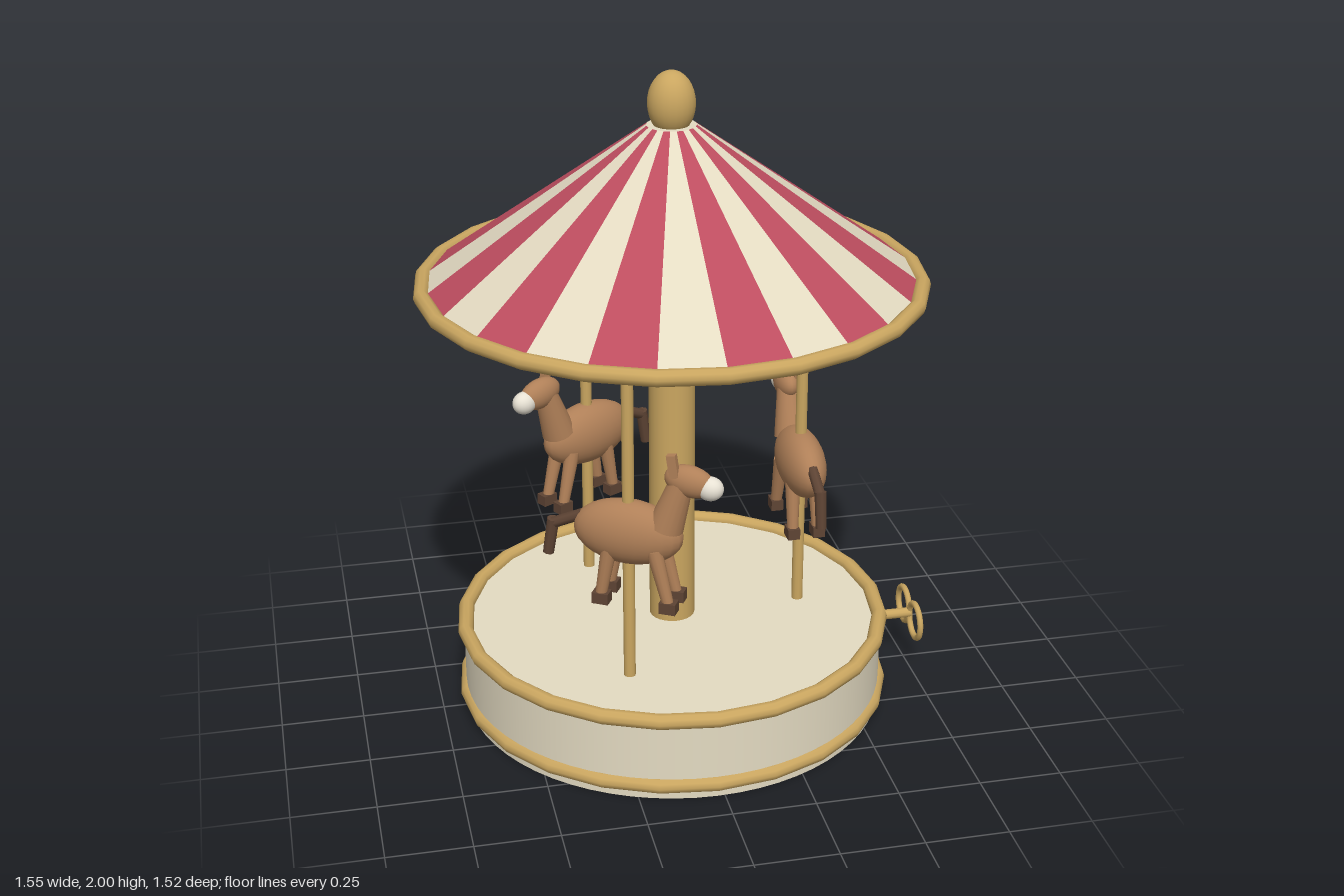
import * as THREE from 'three';
import { mergeGeometries } from 'three/addons/utils/BufferGeometryUtils.js';

const mat = (name, color) => {
  const m = new THREE.MeshStandardMaterial({ color });
  m.name = name;
  return m;
};
const gold = mat('gold', 0xcaa660);
const cream = mat('cream', 0xe4dbc2);
const red = mat('red', 0xbd4d5f);
const brown = mat('horse brown', 0xb08058);
const dark = mat('dark brown', 0x5e4434);
const pale = mat('muzzle white', 0xeee8da);

function add(parent, name, geometry, material, x = 0, y = 0, z = 0) {
  const mesh = new THREE.Mesh(geometry, material);
  mesh.name = name;
  mesh.position.set(x, y, z);
  parent.add(mesh);
  return mesh;
}

// Upright cylinder between two heights
function post(parent, name, r, y0, y1, material, x = 0, sides = 24) {
  return add(parent, name, new THREE.CylinderGeometry(r, r, y1 - y0, sides), material, x, (y0 + y1) / 2, 0);
}

// Tapered rod from point a to point b
function rod(parent, name, a, b, ra, rb, material, sides = 12) {
  const p = new THREE.Vector3(...a), q = new THREE.Vector3(...b);
  const d = q.clone().sub(p);
  const mesh = add(parent, name, new THREE.CylinderGeometry(rb, ra, d.length(), sides), material);
  mesh.position.copy(p).add(q).multiplyScalar(0.5);
  mesh.quaternion.setFromUnitVectors(new THREE.Vector3(0, 1, 0), d.normalize());
  return mesh;
}

function ellipsoid(parent, name, rx, ry, rz, material, x, y, z) {
  const mesh = add(parent, name, new THREE.SphereGeometry(1, 24, 16), material, x, y, z);
  mesh.scale.set(rx, ry, rz);
  return mesh;
}

function rim(parent, name, r, y) {
  add(parent, name, new THREE.TorusGeometry(r, 0.024, 10, 24).rotateX(Math.PI / 2), gold, 0, y, 0);
}

// Striped conical roof, one flat slice per stripe
function makeRoof() {
  const roof = new THREE.Group();
  roof.name = 'roof';
  const y0 = 1.37, y1 = 1.842, step = Math.PI / 12;
  const slices = { cream: [], red: [] };
  for (let i = 0; i < 24; i++) {
    // stripes alternate, except for one swapped pair at the back
    const odd = (i === 16 || i === 17) ? i === 16 : i % 2 === 1;
    const g = new THREE.CylinderGeometry(0.073, 0.735, y1 - y0, 1, 1, true, Math.PI / 2 - (i + 1) * step, step).toNonIndexed();
    g.computeVertexNormals();
    slices[odd ? 'red' : 'cream'].push(g);
  }
  add(roof, 'creamStripes', mergeGeometries(slices.cream), cream, 0, (y0 + y1) / 2, 0);
  add(roof, 'redStripes', mergeGeometries(slices.red), red, 0, (y0 + y1) / 2, 0);
  add(roof, 'roofUnderside', new THREE.CircleGeometry(0.735, 24).rotateX(Math.PI / 2), cream, 0, y0, 0);
  add(roof, 'roofTop', new THREE.CircleGeometry(0.073, 24).rotateX(-Math.PI / 2), cream, 0, y1, 0);
  rim(roof, 'roofRim', 0.735, y0);
  ellipsoid(roof, 'finial', 0.07, 0.095, 0.07, gold, 0, 1.905, 0);
  return roof;
}

// Horse facing -z, with its right side (+x) outward
function makeHorse() {
  const horse = new THREE.Group();
  horse.name = 'horse';
  ellipsoid(horse, 'body', 0.071, 0.1, 0.167, brown, 0, 0.74, 0);
  rod(horse, 'neck', [0, 0.775, -0.115], [0, 0.93, -0.165], 0.053, 0.034, brown, 16);
  ellipsoid(horse, 'head', 0.038, 0.048, 0.075, brown, 0, 0.927, -0.185).rotation.x = -0.15;
  ellipsoid(horse, 'muzzle', 0.033, 0.036, 0.04, pale, 0, 0.913, -0.246);
  add(horse, 'ear', new THREE.BoxGeometry(0.02, 0.07, 0.027), brown, 0.022, 0.978, -0.143).rotation.x = 0.15;

  // Legs splay outward slightly, each ending in a hoof
  for (const side of [-1, 1]) {
    for (const [top, foot] of [[-0.09, -0.133], [0.045, 0.073]]) {
      rod(horse, 'leg', [side * 0.036, 0.71, top], [side * 0.039, 0.54, foot], 0.024, 0.017, brown);
      add(horse, 'hoof', new THREE.BoxGeometry(0.038, 0.034, 0.05), dark, side * 0.04, 0.534, foot - 0.002);
    }
  }

  // Bent tail
  rod(horse, 'tailRoot', [0, 0.775, 0.14], [0, 0.728, 0.24], 0.017, 0.017, dark, 8);
  rod(horse, 'tailTip', [0, 0.745, 0.232], [0, 0.632, 0.25], 0.019, 0.017, dark, 8);
  return horse;
}

// Wind-up key on the side of the base
function makeKey() {
  const key = new THREE.Group();
  key.name = 'windUpKey';
  rod(key, 'keyShaft', [0.62, 0.16, 0], [0.788, 0.16, 0], 0.016, 0.016, gold);
  for (const side of [-1, 1]) {
    add(key, 'keyRing', new THREE.TorusGeometry(0.056, 0.01, 8, 24).rotateY(Math.PI / 2), gold, 0.785, 0.16, side * 0.058);
  }
  return key;
}

export function createModel() {
  const model = new THREE.Group();
  model.name = 'musicBoxCarousel';
  const carousel = new THREE.Group();
  carousel.name = 'carousel';
  carousel.position.x = -0.02;
  model.add(carousel);

  // Drum base with two rims
  post(carousel, 'base', 0.652, 0, 0.26, cream, 0, 64);
  rim(carousel, 'lowerRim', 0.65, 0.043);
  rim(carousel, 'upperRim', 0.65, 0.26);
  carousel.add(makeKey());

  post(carousel, 'centrePole', 0.07, 0.25, 1.375, gold);
  carousel.add(makeRoof());

  // Three horses on their poles around the centre
  for (let i = 0; i < 3; i++) {
    const ride = new THREE.Group();
    ride.name = 'ride';
    ride.rotation.y = -i * Math.PI * 2 / 3;
    post(ride, 'horsePole', 0.018, 0.25, 1.375, gold, 0.406, 12);
    const horse = makeHorse();
    horse.position.x = 0.406;
    ride.add(horse);
    carousel.add(ride);
  }
  return model;
}
